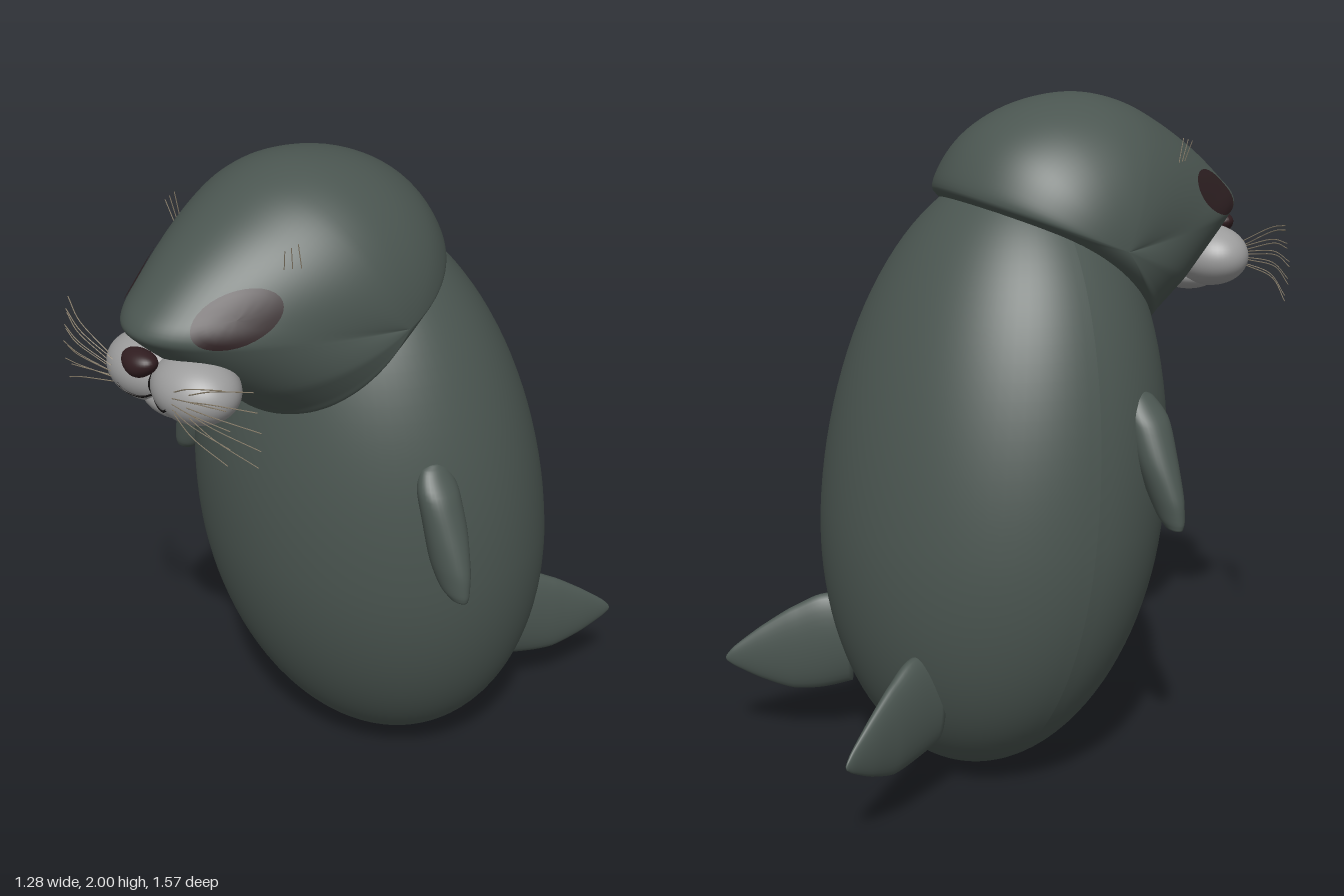
import * as THREE from 'three';

const V = (x, y, z) => new THREE.Vector3(x, y, z);
const paint = (name, color) => Object.assign(new THREE.MeshStandardMaterial({ color }), { name });

// Wrapped grid surface: i runs around, j runs along; faces are turned outward
function grid(fn, nu, nv) {
  const pos = [], idx = [], pts = [];
  for (let j = 0; j <= nv; j++) {
    for (let i = 0; i < nu; i++) {
      const p = fn(i / nu, j / nv);
      pts.push(p);
      pos.push(p.x, p.y, p.z);
    }
  }
  let volume = 0;
  const tri = (a, b, c) => {
    idx.push(a, b, c);
    volume += pts[a].dot(V(0, 0, 0).crossVectors(pts[b], pts[c]));
  };
  for (let j = 0; j < nv; j++) {
    for (let i = 0; i < nu; i++) {
      const k = (i + 1) % nu, a = j * nu + i, b = j * nu + k;
      tri(a, b, b + nu);
      tri(a, b + nu, a + nu);
    }
  }
  if (volume < 0) idx.reverse();
  const g = new THREE.BufferGeometry();
  g.setAttribute('position', new THREE.Float32BufferAttribute(pos, 3));
  g.setIndex(idx);
  g.computeVertexNormals();
  return g;
}

// Copy a geometry to the other side, keeping its faces outward
function mirror(geo) {
  const g = geo.clone().scale(-1, 1, 1);
  g.setIndex(Array.from(geo.index.array).reverse());
  g.computeVertexNormals();
  return g;
}

const ellipsoid = (x, y, z, rx, ry, rz) =>
  new THREE.SphereGeometry(1, 48, 32).scale(rx, ry, rz).translate(x, y, z);

const hair = (points, r) =>
  new THREE.TubeGeometry(new THREE.CatmullRomCurve3(points), 12, r, 4);

// Flipper from elliptical sections [x, y, z, half size a, half size b];
// place() turns a section and an angle into a point
function flipper(sections, place) {
  const centres = new THREE.CatmullRomCurve3(sections.map(s => V(s[0], s[1], s[2])));
  const sizes = new THREE.CatmullRomCurve3(sections.map(s => V(s[3], s[4], 0)));
  return grid((u, v) => {
    const c = centres.getPoint(v), size = sizes.getPoint(v);
    const end = v === 0 || v === 1 ? 0 : 1;
    const a = u * Math.PI * 2;
    return place(c, size.x * Math.cos(a) * end, size.y * Math.sin(a) * end);
  }, 32, 32);
}

// Drop a point onto meshes along a direction, lifted slightly off the surface
function drop(meshes, point, dir, lift) {
  const start = point.clone().addScaledVector(dir, -0.6);
  const hit = new THREE.Raycaster(start, dir).intersectObjects(meshes)[0];
  return (hit ? hit.point.clone() : point.clone()).addScaledVector(dir, -lift);
}

export function createModel() {
  const fur = paint('grey green fur', 0x4b5651);
  const pale = paint('pale muzzle', 0x9c9c9c);
  const eyeDark = paint('dark eye', 0x2e2022);
  const noseDark = paint('dark nose', 0x301d20);
  const line = paint('mouth line', 0x151313);
  const whiskerTan = paint('whisker tan', 0x8a7f6c);

  const model = new THREE.Group();
  model.name = 'seal';
  const add = (name, geo, mat) => {
    const m = new THREE.Mesh(geo, mat);
    m.name = name;
    model.add(m);
    return m;
  };
  const pair = (name, geo, mat) => [add(name + 'Left', geo, mat), add(name + 'Right', mirror(geo), mat)];

  // Body: an egg with a longer top, leaning forward as it rises
  const body = new THREE.SphereGeometry(1, 80, 56);
  const bp = body.attributes.position;
  for (let i = 0; i < bp.count; i++) {
    const t = bp.getY(i), y = 0.82 + t * (t > 0 ? 0.98 : 0.82);
    bp.setXYZ(i, bp.getX(i) * 0.57, y, bp.getZ(i) * 0.49 - 0.165 + 0.1 * y);
  }
  body.computeVertexNormals();
  add('body', body, fur);

  // Head: side profile (z, y) swept out to a pole on each side, pinched at the snout
  const profile = new THREE.CatmullRomCurve3([
    [-0.21, 1.75], [-0.175, 1.83], [-0.1, 1.91], [0.03, 1.975], [0.2, 2.0], [0.33, 1.975],
    [0.46, 1.91], [0.6, 1.815], [0.7, 1.73], [0.752, 1.68], [0.763, 1.65], [0.735, 1.615],
    [0.6, 1.495], [0.48, 1.395], [0.41, 1.338], [0.37, 1.307], [0.31, 1.345], [0.08, 1.51],
    [-0.12, 1.665], [-0.19, 1.72],
  ].map(([z, y]) => V(0, y, z)), true);
  const core = V(0, 1.6, 0.14);
  const headGeo = grid((u, v) => {
    const d = profile.getPoint(u).sub(core);
    const pinch = 1 + Math.max(0, (d.length() - 0.42) / 0.21) * 0.7;
    const a = v * Math.PI;
    const p = d.multiplyScalar(Math.pow(Math.max(0, Math.sin(a)), pinch)).add(core);
    p.x = 0.383 * Math.cos(a);
    return p;
  }, 120, 56);
  const head = add('head', headGeo, fur);

  // Eyes: thin slanted ovals laid on the head
  const n = V(0.78, 0.2, 0.59).normalize();
  const along = V(0.5, 0.3, -0.8);
  along.addScaledVector(n, -along.dot(n)).normalize();
  const across = n.clone().cross(along);
  const inward = n.clone().negate();
  const eye = grid((u, v) => {
    const a = u * Math.PI * 2;
    const p = V(0.2, 1.705, 0.58)
      .addScaledVector(along, 0.125 * v * Math.cos(a))
      .addScaledVector(across, 0.068 * v * Math.sin(a));
    return drop([head], p, inward, 0.004);
  }, 32, 6);
  pair('eye', eye, eyeDark);

  // Muzzle: two cheeks and a chin
  const muzzle = pair('cheek', ellipsoid(0.095, 1.495, 0.64, 0.135, 0.092, 0.11), pale);
  muzzle.push(add('chin', ellipsoid(0, 1.435, 0.62, 0.125, 0.057, 0.09), pale));

  // Nose: rounded, narrower toward the bottom
  const nose = new THREE.SphereGeometry(1, 32, 24);
  const np = nose.attributes.position;
  for (let i = 0; i < np.count; i++) {
    const y = np.getY(i);
    np.setXYZ(i, np.getX(i) * (0.055 + 0.02 * y), 1.568 + y * 0.038, 0.745 + np.getZ(i) * 0.042);
  }
  nose.computeVertexNormals();
  add('nose', nose, noseDark);

  // Mouth lines laid on the muzzle
  const onMuzzle = ([x, y]) => drop(muzzle, V(x, y, 0.72), V(0, 0, -1), 0.001);
  add('philtrum', hair([[0, 1.54], [0, 1.5], [0, 1.465]].map(onMuzzle), 0.005), line);
  pair('lip', hair([[0, 1.465], [0.035, 1.449], [0.075, 1.453], [0.105, 1.472]].map(onMuzzle), 0.004), line);

  // Whiskers fan out from each cheek
  for (let k = 0; k < 10; k++) {
    const s = (k % 5) / 4, near = k < 5;
    const root = onMuzzle([near ? 0.13 : 0.17, 1.465 + s * 0.065]);
    const tip = V((near ? 0.36 : 0.42) - Math.abs(s - 0.4) * 0.05, 1.4 + s * 0.21, near ? 0.74 : 0.69);
    const mid = root.clone().lerp(tip, 0.5).add(V(0, 0.015, 0.025));
    pair('whisker', hair([root, mid, tip], 0.0016), whiskerTan);
  }

  // Brow hairs above each eye
  for (let k = 0; k < 3; k++) {
    const root = drop([head], V(0.225 + k * 0.012, 1.81, 0.5), V(0, 0, -1), 0);
    const tip = root.clone().add(V(0.018 - k * 0.008, 0.06 + k * 0.005, 0.012));
    pair('browHair', hair([root, root.clone().lerp(tip, 0.5), tip], 0.0016), whiskerTan);
  }

  // Front flippers hang from the shoulders
  const front = flipper([
    [0.465, 1.227, 0.12, 0.012, 0.015], [0.468, 1.21, 0.125, 0.03, 0.042],
    [0.495, 1.15, 0.135, 0.055, 0.062], [0.53, 1.05, 0.14, 0.065, 0.058],
    [0.562, 0.95, 0.15, 0.068, 0.044], [0.588, 0.88, 0.155, 0.05, 0.03],
    [0.605, 0.853, 0.155, 0.028, 0.018],
  ], (c, a, b) => V(c.x + a, c.y - a * 0.1, c.z + b));
  pair('frontFlipper', front, fur);

  // Rear flippers: upright leaves spreading backward
  const rear = flipper([
    [0.25, 0.34, -0.42, 0.14, 0.055], [0.285, 0.337, -0.51, 0.155, 0.05],
    [0.33, 0.315, -0.6, 0.135, 0.038], [0.375, 0.302, -0.69, 0.085, 0.024],
    [0.41, 0.294, -0.765, 0.03, 0.01], [0.42, 0.29, -0.787, 0.006, 0.003],
  ], (c, a, b) => V(c.x + b * 0.9, c.y + a, c.z + b * 0.4));
  pair('rearFlipper', rear, fur);

  return model;
}
